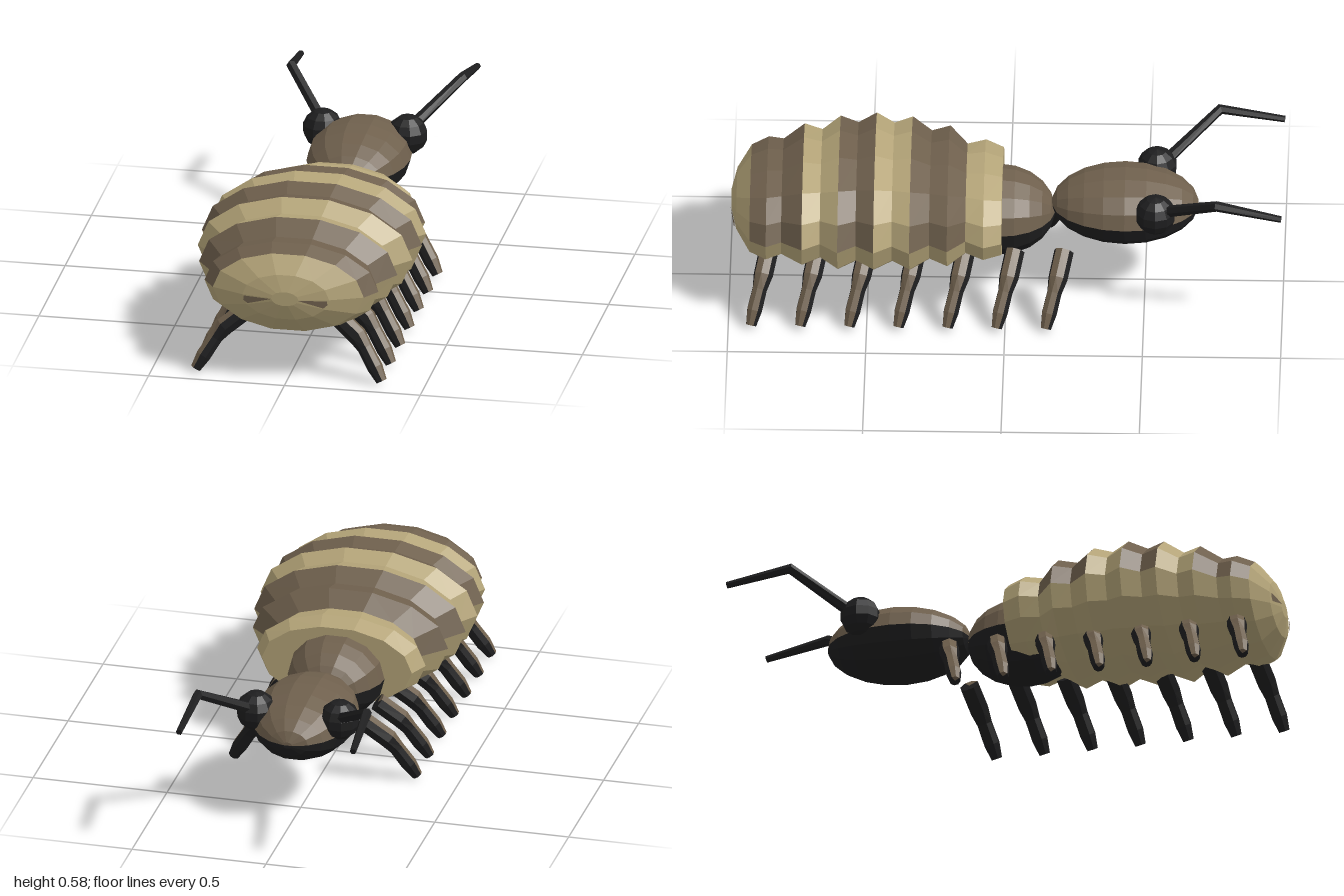
import * as THREE from 'three';

const materials = [
  new THREE.MeshStandardMaterial({ color: 0x1e1e1f }),
  new THREE.MeshStandardMaterial({ color: 0x6f604d }),
  new THREE.MeshStandardMaterial({ color: 0xb5a579 }),
];
['black', 'brown', 'tan'].forEach((name, i) => { materials[i].name = name; });
const [BLACK, BROWN, TAN] = [0, 1, 2];

// Faceted skin over closed rings; paint(i, j) picks the colour of side j in band i.
function loft(name, rings, paint) {
  const faces = [[], [], []];
  const n = rings[0].length;
  const middle = (ring) => ring.reduce((s, p) => s.add(p), new THREE.Vector3()).divideScalar(n);
  const first = middle(rings[0]), lastRing = rings[rings.length - 1], last = middle(lastRing);
  for (let j = 0; j < n; j++) {
    const k = (j + 1) % n;
    faces[paint(0, j)].push(first, rings[0][k], rings[0][j]);
    for (let i = 0; i < rings.length - 1; i++) {
      const a = rings[i], b = rings[i + 1];
      faces[paint(i, j)].push(a[j], a[k], b[j], a[k], b[k], b[j]);
    }
    faces[paint(rings.length - 2, j)].push(last, lastRing[j], lastRing[k]);
  }
  const geometry = new THREE.BufferGeometry().setFromPoints(faces.flat());
  let start = 0;
  faces.forEach((list, m) => {
    if (list.length) geometry.addGroup(start, list.length, m);
    start += list.length;
  });
  geometry.computeVertexNormals();
  const mesh = new THREE.Mesh(geometry, materials);
  mesh.name = name;
  return mesh;
}

// Upright oval ring facing along z
function oval(z, y, rx, ry, sides = 14) {
  return Array.from({ length: sides }, (_, j) => {
    const a = (j / sides) * Math.PI * 2;
    return new THREE.Vector3(rx * Math.cos(a), y + ry * Math.sin(a), z);
  });
}

// Egg shape along z: brown above, black below
function egg(name, z, y, rx, ry, rz) {
  const rings = [];
  for (let i = 0; i <= 10; i++) {
    const a = (0.03 + 0.94 * i / 10) * Math.PI;
    rings.push(oval(z - rz * Math.cos(a), y, rx * Math.sin(a), ry * Math.sin(a)));
  }
  return loft(name, rings, (i, j) => (j < 7 ? BROWN : BLACK));
}

// Tapered limb along a path; side 2 of each ring points upward
function limb(name, path, radii, sides, paint) {
  const pts = path.map((p) => new THREE.Vector3(...p));
  const up = new THREE.Vector3(0, 1, 0);
  const rings = pts.map((p, i) => {
    const d = pts[Math.min(i + 1, pts.length - 1)].clone().sub(pts[Math.max(i - 1, 0)]).normalize();
    const u = up.clone().cross(d).normalize();
    const v = d.clone().cross(u);
    return Array.from({ length: sides }, (_, j) => {
      const a = (j / sides) * Math.PI * 2;
      return p.clone().addScaledVector(u, radii[i] * Math.cos(a)).addScaledVector(v, radii[i] * Math.sin(a));
    });
  });
  return loft(name, rings, paint);
}

export function createModel() {
  const model = new THREE.Group();

  // Ridged abdomen: z, centre height, half width, half height
  const profile = [
    [0.015, 0.335, 0.28, 0.15], [0.08, 0.34, 0.315, 0.165], [0.145, 0.345, 0.28, 0.155],
    [0.21, 0.355, 0.365, 0.195], [0.275, 0.36, 0.33, 0.18], [0.345, 0.365, 0.395, 0.215],
    [0.41, 0.37, 0.355, 0.195], [0.475, 0.372, 0.405, 0.22], [0.54, 0.37, 0.355, 0.195],
    [0.605, 0.365, 0.395, 0.215], [0.67, 0.36, 0.33, 0.18], [0.735, 0.355, 0.365, 0.198],
    [0.81, 0.345, 0.3, 0.16], [0.865, 0.337, 0.32, 0.17], [0.925, 0.335, 0.278, 0.15],
    [0.975, 0.335, 0.16, 0.087], [0.995, 0.335, 0.05, 0.027],
  ];
  const brownBands = [3, 2, 4, 7, 8, 11, 12, 13];
  model.add(loft('abdomen', profile.map((p) => oval(...p)),
    (i, j) => (j < 7 && brownBands.includes(i) ? BROWN : TAN)));

  // Thorax and head
  model.add(egg('thorax', 0.03, 0.3, 0.18, 0.157, 0.205));
  model.add(egg('head', -0.428, 0.335, 0.188, 0.13, 0.266));

  for (const side of [1, -1]) {
    // Eye
    const eyeGeometry = new THREE.SphereGeometry(0.074, 10, 7).toNonIndexed();
    eyeGeometry.computeVertexNormals();
    const eye = new THREE.Mesh(eyeGeometry, materials[BLACK]);
    eye.name = side > 0 ? 'leftEye' : 'rightEye';
    eye.position.set(side * 0.156, 0.39, -0.54);
    model.add(eye);

    // Bent antenna
    model.add(limb(side > 0 ? 'leftAntenna' : 'rightAntenna',
      [[side * 0.15, 0.395, -0.55], [side * 0.315, 0.535, -0.765], [side * 0.325, 0.488, -0.998]],
      [0.022, 0.019, 0.012], 6, () => BLACK));

    // Seven walking legs
    for (let i = 0; i < 7; i++) {
      const z = -0.16 + i * 0.1775;
      model.add(limb(side > 0 ? 'leftLeg' : 'rightLeg',
        [[side * 0.165, 0.23, z - 0.05], [side * 0.245, 0.165, z - 0.03], [side * 0.275, 0.125, z - 0.018],
          [side * 0.315, 0.06, z], [side * 0.342, 0.012, z + 0.012]],
        [0.036, 0.036, 0.028, 0.029, 0.02], 8, (r, j) => (j === 1 || j === 2 ? BROWN : BLACK)));
    }

    // Thin brown mark on the tail cap
    const mark = new THREE.Mesh(new THREE.ShapeGeometry(new THREE.Shape([
      new THREE.Vector2(0.05, 0.333), new THREE.Vector2(0.14, 0.305),
      new THREE.Vector2(0.155, 0.318), new THREE.Vector2(0.153, 0.333),
    ].map((p) => new THREE.Vector2(p.x * side, p.y)))), materials[BROWN]);
    mark.name = 'tailMark';
    // Lean the mark onto the cap slope
    const pos = mark.geometry.attributes.position;
    for (let k = 0; k < pos.count; k++) {
      pos.setZ(k, 0.998 - (Math.abs(pos.getX(k)) - 0.05) * 0.16);
    }
    mark.geometry.computeVertexNormals();
    model.add(mark);
  }
  return model;
}
